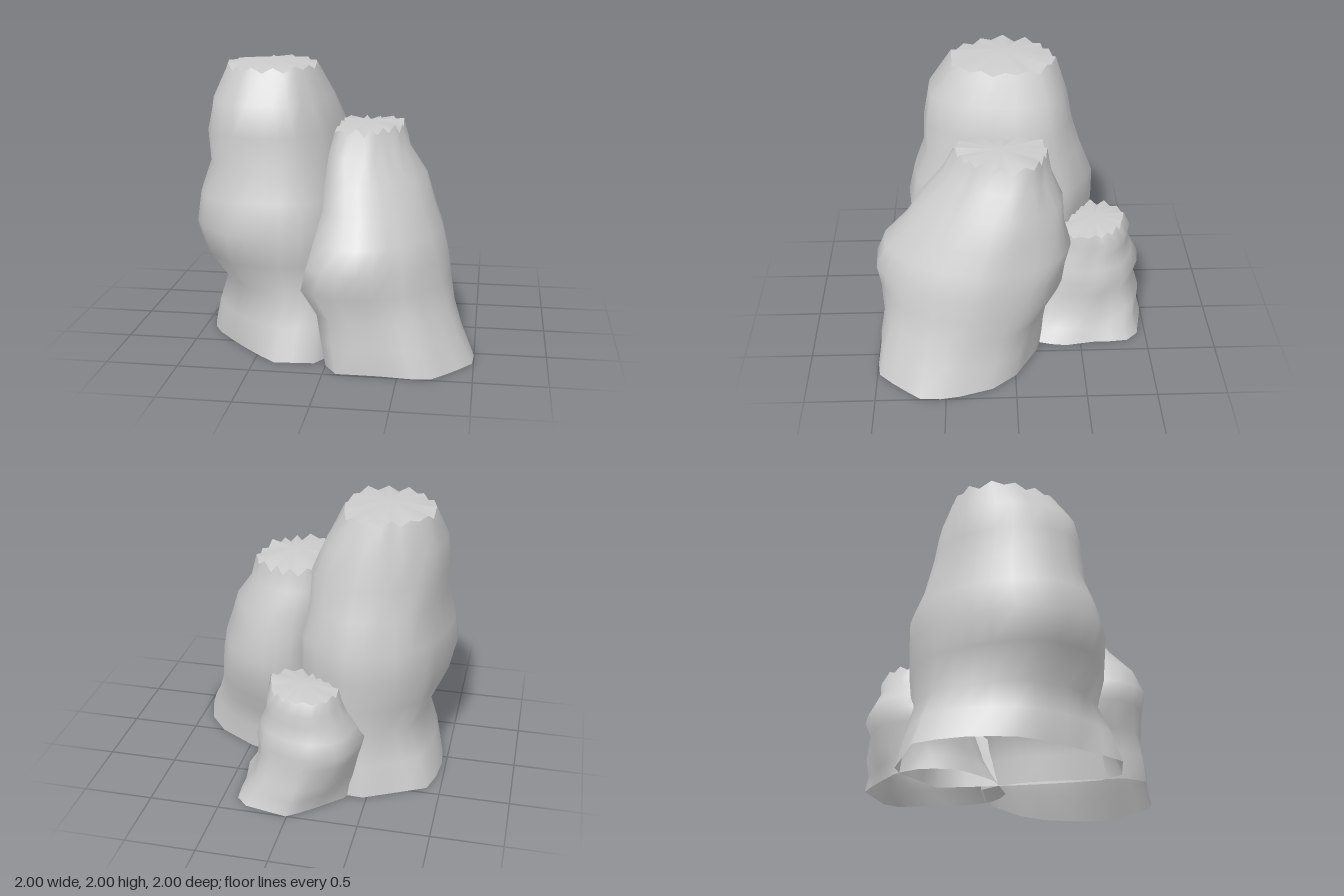
import * as THREE from 'three';

const SEG = 28;

function seeded(seed) {
  return () => {
    seed = (seed * 16807) % 2147483647;
    return seed / 2147483647;
  };
}

// Scale and shift [x, z] points so they fill the box x0..x1, z0..z1
function fit(points, x0, x1, z0, z1) {
  const xs = points.map(p => p[0]), zs = points.map(p => p[1]);
  const ax = Math.min(...xs), bx = Math.max(...xs), az = Math.min(...zs), bz = Math.max(...zs);
  return points.map(([x, z]) => [x0 + (x - ax) / (bx - ax) * (x1 - x0), z0 + (z - az) / (bz - az) * (z1 - z0)]);
}

// Resample a polygon at SEG equal angles, turning from +x toward +z
function outline(polygon) {
  const p = fit(polygon, -1, 1, -1, 1);
  return Array.from({ length: SEG }, (_, i) => {
    const a = (i / SEG) * Math.PI * 2, dx = Math.cos(a), dz = Math.sin(a);
    let reach = 0;
    p.forEach(([x, z], j) => {
      const [nx, nz] = p[(j + 1) % p.length];
      const ex = nx - x, ez = nz - z, det = dx * ez - dz * ex;
      if (Math.abs(det) < 1e-9) return;
      const r = (x * ez - z * ex) / det, s = (x * dz - z * dx) / det;
      if (r > 0 && s >= -1e-6 && s <= 1 + 1e-6) reach = Math.max(reach, r);
    });
    return [dx * reach, dz * reach];
  });
}

// Blend the outlines, each given with its height
function outlineAt(levels, y) {
  let k = 0;
  while (k < levels.length - 2 && y > levels[k + 1].y) k++;
  const lo = levels[k], hi = levels[k + 1];
  const t = THREE.MathUtils.clamp((y - lo.y) / (hi.y - lo.y), 0, 1);
  return lo.points.map(([x, z], i) => [
    THREE.MathUtils.lerp(x, hi.points[i][0], t),
    THREE.MathUtils.lerp(z, hi.points[i][1], t),
  ]);
}

function geometry(positions, index) {
  const g = new THREE.BufferGeometry();
  g.setAttribute('position', new THREE.Float32BufferAttribute(positions, 3));
  g.setIndex(index);
  g.computeVertexNormals();
  return g;
}

// Rock column: rings are [y, xMin, xMax, zMin, zMax], open below, ragged rim and fan cap above
function rockColumn(name, { outlines, rings, peak, tooth, seed }, material) {
  const rand = seeded(seed);
  const levels = outlines.map(([y, polygon]) => ({ y, points: outline(polygon) }));
  const pos = [], index = [];

  rings.forEach(([y, ...extent], k) => {
    const last = k === rings.length - 1;
    fit(outlineAt(levels, y), ...extent).forEach(([x, z], i) => {
      // rim teeth dip on every other point
      const dip = !last ? 0 : i % 2 ? -tooth * (0.4 + 0.8 * rand()) : tooth * 0.5 * rand();
      pos.push(x, y + dip, z);
      if (!last) {
        const n = k * SEG + i, m = k * SEG + (i + 1) % SEG;
        index.push(n, n + SEG, m, m, n + SEG, m + SEG);
      }
    });
  });

  // cap fan
  const [, x0, x1, z0, z1] = rings[rings.length - 1];
  const capPos = [...pos.slice(-SEG * 3), (x0 + x1) / 2, peak, (z0 + z1) / 2];
  const capIndex = [];
  for (let i = 0; i < SEG; i++) capIndex.push(SEG, (i + 1) % SEG, i);

  const group = new THREE.Group();
  group.name = name;
  const side = new THREE.Mesh(geometry(pos, index), material);
  side.name = name + 'Sides';
  const cap = new THREE.Mesh(geometry(capPos, capIndex), material);
  cap.name = name + 'Cap';
  group.add(side, cap);
  return group;
}

const tall = {
  outlines: [
    [0, [[.03, .2], [.02, .6], [0, .82], [-.37, .85], [-.65, .58], [-.9, .3], [-.97, 0], [-.93, -.4], [-.42, -.66], [0, -.45]]],
    [.75, [[.09, .1], [.05, .5], [-.1, .75], [-.45, .78], [-.7, .75], [-.94, .52], [-1, .38], [-1, .2], [-.93, -.05],
      [-.83, -.33], [-.65, -.5], [-.42, -.6], [-.32, -.61], [-.1, -.48], [.1, -.35], [.12, -.1]]],
    [1.35, [[.02, .1], [-.05, .4], [-.22, .6], [-.48, .64], [-.73, .58], [-.88, .4], [-.91, .15], [-.86, -.12],
      [-.72, -.37], [-.45, -.5], [-.32, -.51], [-.14, -.42], [0, -.27], [.03, -.1]]],
    [1.6, [[-.01, .1], [-.08, .4], [-.25, .6], [-.5, .63], [-.72, .58], [-.87, .4], [-.92, .15], [-.85, -.16],
      [-.65, -.36], [-.4, -.44], [-.15, -.37], [-.02, -.25], [0, -.1]]],
    [1.96, [[-.18, .12], [-.25, .33], [-.33, .42], [-.61, .43], [-.76, .26], [-.82, .13], [-.82, 0], [-.8, -.1],
      [-.68, -.22], [-.45, -.33], [-.25, -.22], [-.2, -.08]]],
  ],
  rings: [
    [0, -.97, .03, -.66, .85],
    [.22, -.9, .03, -.62, .78],
    [.43, -.82, .03, -.58, .69],
    [.65, -.95, .06, -.6, .75],
    [.87, -1, .1, -.61, .78],
    [1.08, -.98, .09, -.61, .73],
    [1.3, -.91, .04, -.52, .65],
    [1.52, -.93, .02, -.45, .64],
    [1.73, -.9, -.07, -.41, .6],
    [1.96, -.82, -.18, -.33, .43],
  ],
  peak: 2, tooth: .04, seed: 11,
};

const middle = {
  outlines: [
    [0, [[-.03, .2], [-.01, .83], [.1, .99], [.3, .97], [.7, 1], [.85, .85], [1, .66], [.99, .46], [.9, .17], [.76, 0],
      [.42, -.2], [.05, -.17]]],
    [.7, [[-.08, .2], [-.12, .6], [-.1, .82], [.1, .93], [.32, .92], [.55, .75], [.68, .52], [.75, .2], [.62, -.2],
      [.45, -.35], [.27, -.41], [.12, -.36], [-.02, -.15]]],
    [1.1, [[-.08, .2], [-.06, .53], [.05, .69], [.25, .7], [.45, .56], [.58, .36], [.65, .1], [.55, -.13], [.41, -.31],
      [.25, -.35], [.05, -.3], [-.06, -.1]]],
    [1.54, [[.44, -.1], [.44, .12], [.4, .22], [.26, .37], [.09, .42], [-.02, .32], [0, .2], [-.02, .05], [-.03, -.18],
      [.05, -.23], [.17, -.25], [.38, -.17]]],
  ],
  rings: [
    [0, -.03, 1, -.2, 1],
    [.18, -.05, .91, -.22, .98],
    [.35, -.08, .85, -.25, .95],
    [.52, -.19, .82, -.36, .97],
    [.68, -.15, .8, -.37, 1],
    [.85, -.11, .75, -.41, .93],
    [1.02, -.08, .68, -.36, .77],
    [1.2, -.08, .62, -.35, .65],
    [1.37, -.06, .5, -.27, .5],
    [1.54, -.03, .44, -.24, .42],
  ],
  peak: 1.57, tooth: .05, seed: 29,
};

const small = {
  outlines: [
    [0, [[.44, -.36], [.4, -.6], [.4, -.83], [.35, -.93], [0, -1], [-.15, -.87], [-.35, -.68], [-.42, -.48],
      [-.36, -.25], [-.1, -.06], [.2, -.02], [.37, -.12]]],
    [.4, [[.28, -.4], [.3, -.65], [.2, -.85], [0, -.95], [-.15, -.97], [-.35, -.88], [-.41, -.72], [-.45, -.5],
      [-.35, -.3], [0, -.22], [.2, -.25]]],
    [.83, [[-.2, -.82], [-.1, -.87], [.07, -.82], [.17, -.72], [.2, -.6], [.23, -.5], [.15, -.38], [0, -.36],
      [-.2, -.45], [-.28, -.62], [-.26, -.72]]],
  ],
  rings: [
    [0, -.42, .44, -1, -.02],
    [.1, -.41, .38, -.97, -.09],
    [.2, -.42, .32, -.98, -.15],
    [.35, -.45, .3, -.93, -.2],
    [.45, -.46, .3, -.97, -.24],
    [.55, -.41, .28, -.92, -.28],
    [.65, -.35, .25, -.88, -.33],
    [.74, -.31, .25, -.89, -.36],
    [.83, -.28, .23, -.84, -.37],
  ],
  peak: .86, tooth: .035, seed: 47,
};

export function createModel() {
  const stone = new THREE.MeshStandardMaterial({ color: 0xcccccc, side: THREE.DoubleSide });
  stone.name = 'stone grey';

  const model = new THREE.Group();
  model.name = 'rockColumns';
  model.add(
    rockColumn('tallRock', tall, stone),
    rockColumn('middleRock', middle, stone),
    rockColumn('smallRock', small, stone),
  );
  return model;
}
